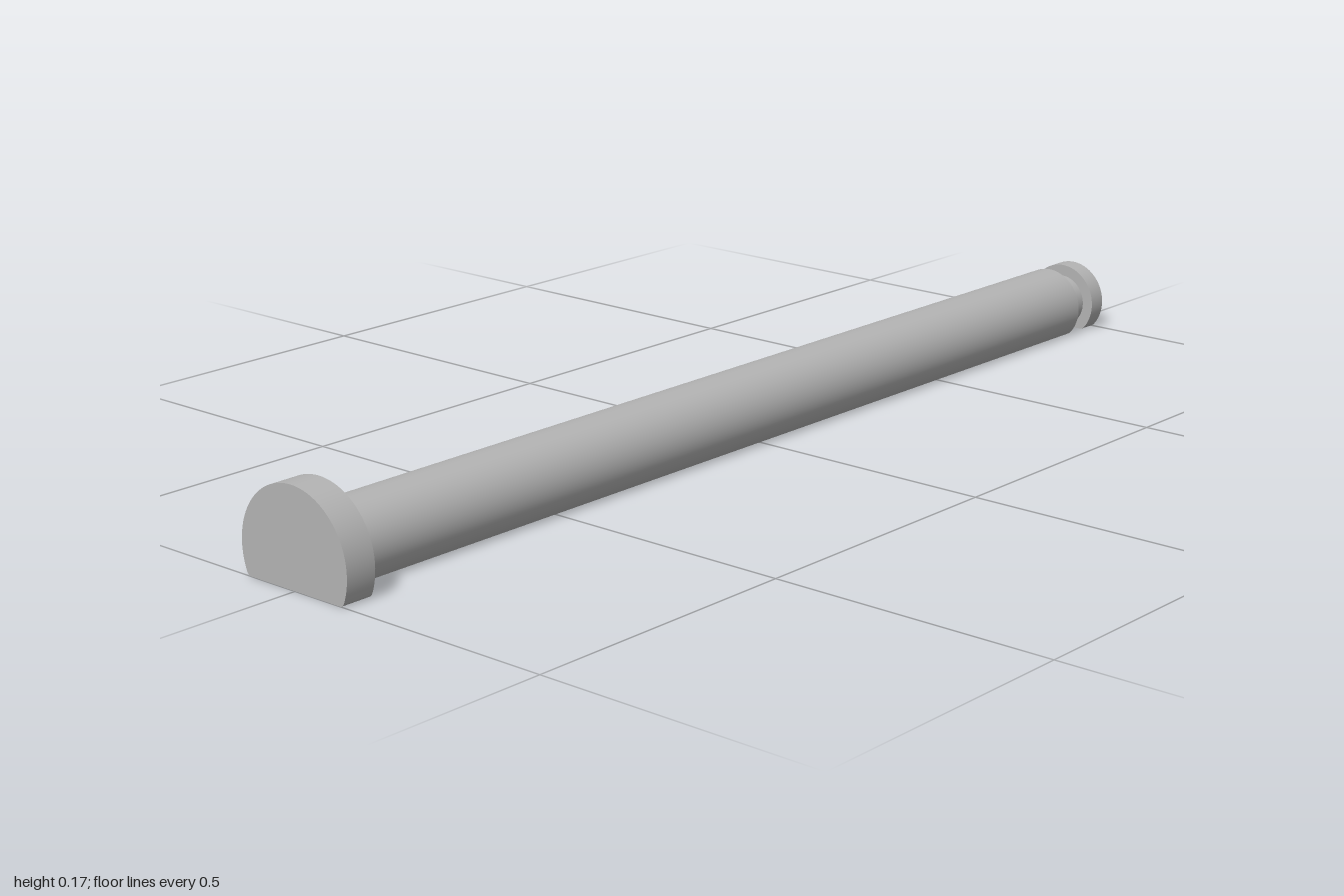
import * as THREE from 'three';
import { toCreasedNormals } from 'three/addons/utils/BufferGeometryUtils.js';

const AXIS_Y = 0.05; // height of the pin axis above the flat underside
const FILLET = 0.01; // rounding where the flat meets the round

// Round section cut by a flat at y = 0, with softened lower corners
function flattenedRound(radius) {
  const c = Math.sqrt((radius - FILLET) ** 2 - (AXIS_Y - FILLET) ** 2);
  const a = Math.atan2(FILLET - AXIS_Y, c);
  const shape = new THREE.Shape();
  shape.moveTo(-c, 0);
  shape.lineTo(c, 0);
  shape.absarc(c, FILLET, FILLET, -Math.PI / 2, a, false);
  shape.absarc(0, AXIS_Y, radius, a, Math.PI - a, false);
  shape.absarc(-c, FILLET, FILLET, Math.PI - a, Math.PI * 1.5, false);
  return shape;
}

// Extrude a section along x from x0 to x1 with smooth sides and sharp ends
function bar(radius, x0, x1) {
  const g = new THREE.ExtrudeGeometry(flattenedRound(radius), {
    depth: x1 - x0, bevelEnabled: false, curveSegments: 32,
  });
  g.rotateY(Math.PI / 2);
  g.translate(x0, 0, 0);
  // Creasing merges nearby points, so do it at a larger scale
  g.scale(100, 100, 100);
  const smooth = toCreasedNormals(g, 0.5);
  smooth.scale(0.01, 0.01, 0.01);
  return smooth;
}

export function createModel() {
  const group = new THREE.Group();
  group.name = 'headedPin';
  const steel = new THREE.MeshStandardMaterial({ color: 0xb4b4b4 });
  steel.name = 'steel grey';

  const add = (name, geometry) => {
    const mesh = new THREE.Mesh(geometry, steel);
    mesh.name = name;
    group.add(mesh);
  };

  add('head', bar(0.115, -1, -0.945));
  add('shaft', bar(0.07, -0.945, 0.92));
  add('tip', bar(0.07, 0.965, 1));

  // Retaining groove: a thinner round neck between shaft and tip
  const neck = new THREE.CylinderGeometry(0.049, 0.049, 0.045, 64, 1, true);
  neck.rotateZ(Math.PI / 2);
  neck.translate(0.9425, AXIS_Y, 0);
  add('grooveNeck', neck);

  return group;
}
